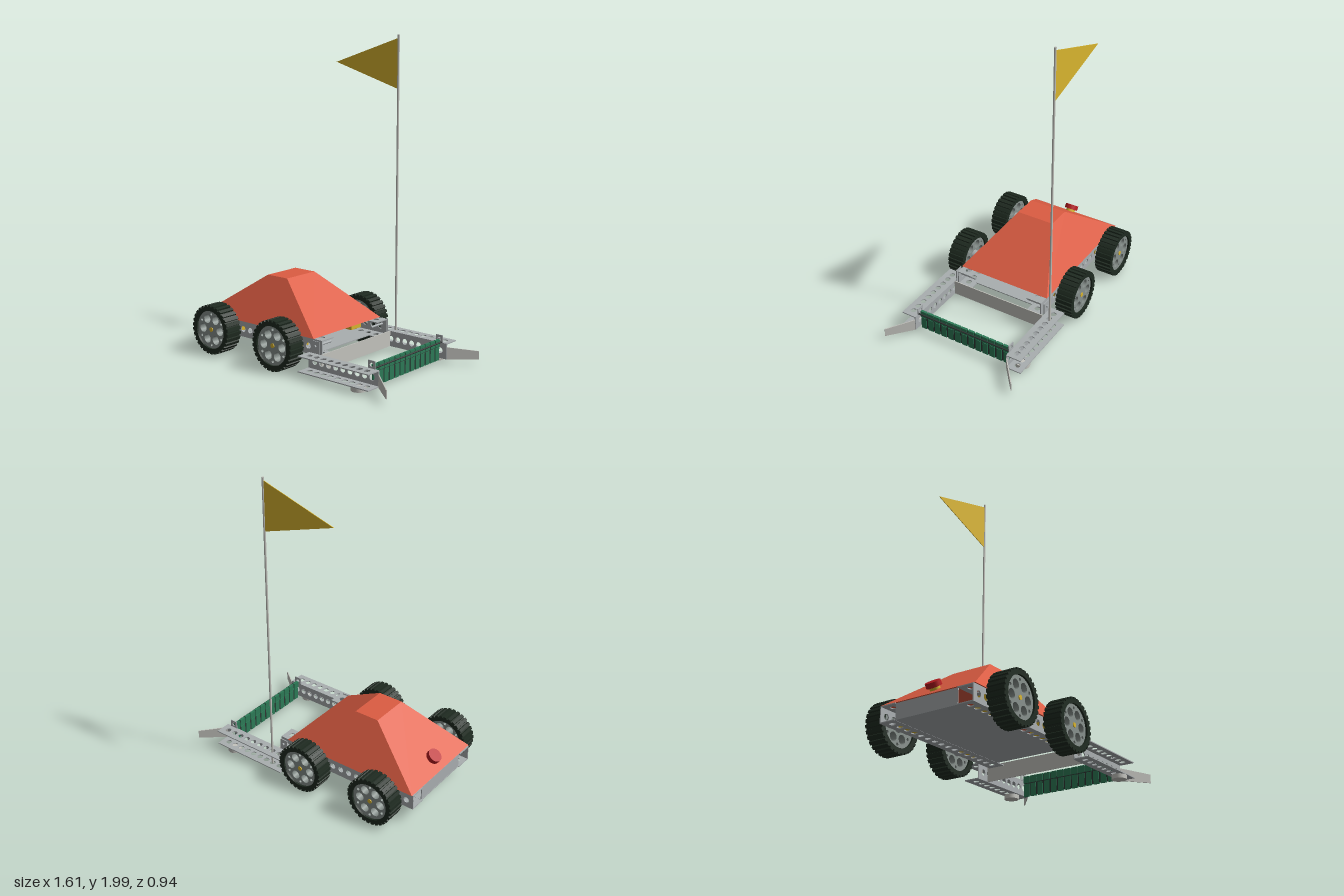
import * as THREE from 'three';

const material = (name, color) => {
  const m = new THREE.MeshStandardMaterial({ color });
  m.name = name;
  return m;
};

export function createModel() {
  const model = new THREE.Group();
  model.name = 'roverWithFlag';

  const orange = material('hull orange', 0xdc5c42);
  const metal = material('aluminium grey', 0xa9aeb0);
  const pale = material('pale plate', 0xc4c4be);
  const rubber = material('tyre dark green', 0x1e2a20);
  const rimGrey = material('rim grey', 0x87908c);
  const yellow = material('yellow', 0xd9b52f);
  const green = material('tread green', 0x2d7a57);
  const red = material('button red', 0xb81c20);
  const dark = material('dark box', 0x303634);
  yellow.side = THREE.DoubleSide;

  const add = (name, geo, mat, x = 0, y = 0, z = 0, parent = model) => {
    const mesh = new THREE.Mesh(geo, mat);
    mesh.name = name;
    mesh.position.set(x, y, z);
    parent.add(mesh);
    return mesh;
  };
  const box = (name, mat, w, h, d, x, y, z, parent) =>
    add(name, new THREE.BoxGeometry(w, h, d), mat, x, y, z, parent);
  const cyl = (name, mat, r, len, x, y, z, axis = 'y', parent = model) => {
    const geo = new THREE.CylinderGeometry(r, r, len, 24);
    if (axis === 'z') geo.rotateX(Math.PI / 2);
    return add(name, geo, mat, x, y, z, parent);
  };
  const hole = (x, y, r) => new THREE.Path().absarc(x, y, r, 0, Math.PI * 2, true);
  const extrude = (shape, depth, segs = 8) => {
    const geo = new THREE.ExtrudeGeometry(shape, { depth, bevelEnabled: false, curveSegments: segs });
    return geo.translate(0, 0, -depth / 2);
  };

  // Flat strip with a row of round holes, lying in the xy plane
  const strip = (length, width, count, pitch, r, thick = 0.006) => {
    const s = new THREE.Shape([
      new THREE.Vector2(-length / 2, -width / 2), new THREE.Vector2(length / 2, -width / 2),
      new THREE.Vector2(length / 2, width / 2), new THREE.Vector2(-length / 2, width / 2)]);
    for (let i = 0; i < count; i++) s.holes.push(hole((i - (count - 1) / 2) * pitch, 0, r));
    return extrude(s, thick);
  };

  // U-channel: upright web at webZ, flanges reaching to edgeZ
  const channel = (name, x0, x1, y0, y1, webZ, edgeZ, count, pitch, r) => {
    const g = new THREE.Group();
    g.name = name;
    const L = x1 - x0, cx = (x0 + x1) / 2, inward = Math.sign(edgeZ - webZ);
    add('web', strip(L, y1 - y0, count, pitch, r), metal, cx, (y0 + y1) / 2, webZ + inward * 0.003, g);
    for (const y of [y0 + 0.003, y1 - 0.003]) {
      const flange = strip(L, Math.abs(edgeZ - webZ), count, pitch, r).rotateX(Math.PI / 2);
      add('flange', flange, metal, cx, y, (webZ + edgeZ) / 2, g);
    }
    model.add(g);
  };

  // Sloping hull: a box whose top face is drawn in
  const hull = new THREE.BoxGeometry(1, 1, 1).toNonIndexed();
  const p = hull.attributes.position;
  for (let i = 0; i < p.count; i++) {
    const top = p.getY(i) > 0, front = p.getX(i) > 0;
    p.setXYZ(i, top ? (front ? -0.245 : -0.41) : (front ? 0.145 : -0.8),
      top ? 0.49 : 0.217, Math.sign(p.getZ(i)) * (top ? 0.13 : 0.322));
  }
  hull.computeVertexNormals();
  add('hull', hull, orange);

  // Button on the rear slope
  const button = new THREE.Group();
  button.name = 'button';
  button.position.set(-0.725, 0.268, 0);
  button.rotation.z = Math.atan2(0.39, 0.275);
  cyl('buttonBase', yellow, 0.03, 0.024, 0, 0.008, 0, 'y', button);
  cyl('buttonCap', red, 0.045, 0.03, 0, 0.032, 0, 'y', button);
  button.rotation.z = Math.atan2(0.275, 0.39);
  model.add(button);

  // Chassis floor, rear panel and front cross panel
  box('floor', metal, 0.94, 0.006, 0.43, -0.33, 0.119, 0);
  box('rearPanel', metal, 0.006, 0.095, 0.42, -0.795, 0.165, 0);
  box('crossPanel', pale, 0.006, 0.1, 0.67, 0.214, 0.085, 0);
  box('electronicsBox', dark, 0.1, 0.07, 0.2, -0.3, 0.165, 0);

  // Wheel geometry: toothed tyre and a rim with six holes
  const teeth = 30, outline = [];
  for (let i = 0; i < teeth; i++) {
    for (const [f, r] of [[0, 0.148], [0.3, 0.148], [0.36, 0.158], [0.94, 0.158]]) {
      const a = (i + f) / teeth * Math.PI * 2;
      outline.push(new THREE.Vector2(r * Math.cos(a), r * Math.sin(a)));
    }
  }
  const tyreShape = new THREE.Shape(outline);
  tyreShape.holes.push(hole(0, 0, 0.122));
  const tyreGeo = extrude(tyreShape, 0.115, 24);
  const rimShape = new THREE.Shape().absarc(0, 0, 0.123, 0, Math.PI * 2, false);
  for (let i = 0; i < 6; i++) {
    const a = i * Math.PI / 3;
    rimShape.holes.push(hole(0.074 * Math.cos(a), 0.074 * Math.sin(a), 0.028));
    rimShape.holes.push(hole(0.1 * Math.cos(a + 0.52), 0.1 * Math.sin(a + 0.52), 0.009));
  }
  const rimGeo = extrude(rimShape, 0.09, 24);

  for (const s of [1, -1]) {
    const side = s > 0 ? 'left' : 'right';

    // Wheels, axles and motors
    for (const x of [-0.593, -0.063]) {
      const wheel = new THREE.Group();
      wheel.name = side + 'Wheel';
      wheel.position.set(x, 0.166, s * 0.412);
      add('tyre', tyreGeo, rubber, 0, 0, 0, wheel);
      add('rim', rimGeo, rimGrey, 0, 0, 0, wheel);
      cyl('hubCap', yellow, 0.014, 0.1, 0, 0, 0, 'z', wheel);
      model.add(wheel);
      cyl('axle', metal, 0.033, 0.06, x, 0.166, s * 0.342, 'z');
      box('motor', yellow, 0.13, 0.075, 0.1, x, 0.165, s * 0.257);
    }

    // Body rail opens inward, front arm opens outward
    channel(side + 'Rail', -0.805, 0.205, 0.115, 0.215, s * 0.315, s * 0.21, 16, 0.061, 0.019);
    channel(side + 'Arm', 0.12, 0.65, 0.035, 0.135, s * 0.335, s * 0.437, 9, 0.054, 0.019);

    // Arm pivot, tread bracket and skid puck
    cyl('armPivot', metal, 0.007, 0.15, 0.17, 0.18, s * 0.272, 'z');
    box('pivotBracket', metal, 0.055, 0.085, 0.006, 0.17, 0.168, s * 0.332);
    add('treadBracket', strip(0.05, 0.05, 1, 0, 0.012), metal, 0.595, 0.157, s * 0.336);
    cyl('skidPuck', pale, 0.046, 0.026, 0.545, 0.022, s * 0.39);

    // Flared guide plate at the arm tip
    const flap = new THREE.Shape([
      new THREE.Vector2(0, 0.035), new THREE.Vector2(0.195, 0.035),
      new THREE.Vector2(0.195, 0.088), new THREE.Vector2(0, 0.112)]);
    add(side + 'Guide', extrude(flap, 0.006), pale, 0.65, 0, s * 0.34).rotation.y = -s * Math.atan2(0.125, 0.15);
  }

  // Hanging green tread between the arms: two rows of slats
  for (let i = 0; i < 13; i++) {
    const z = (i - 6) * 0.051;
    box('upperSlat', green, 0.016, 0.044, 0.044, 0.596, 0.134, z);
    box('lowerSlat', green, 0.012, 0.082, 0.039, 0.596, 0.066, z);
  }
  box('treadSpine', dark, 0.006, 0.12, 0.65, 0.596, 0.09, 0);
  cyl('treadRod', dark, 0.005, 0.67, 0.614, 0.14, 0, 'z');

  // Pole and pennant
  cyl('flagPole', pale, 0.007, 1.96, 0.221, 1.02, -0.388);
  const pennant = new THREE.Shape([
    new THREE.Vector2(0.217, 1.67), new THREE.Vector2(0.217, 1.98), new THREE.Vector2(-0.275, 1.825)]);
  add('flag', extrude(pennant, 0.004), yellow, 0, 0, -0.388);

  return model;
}
